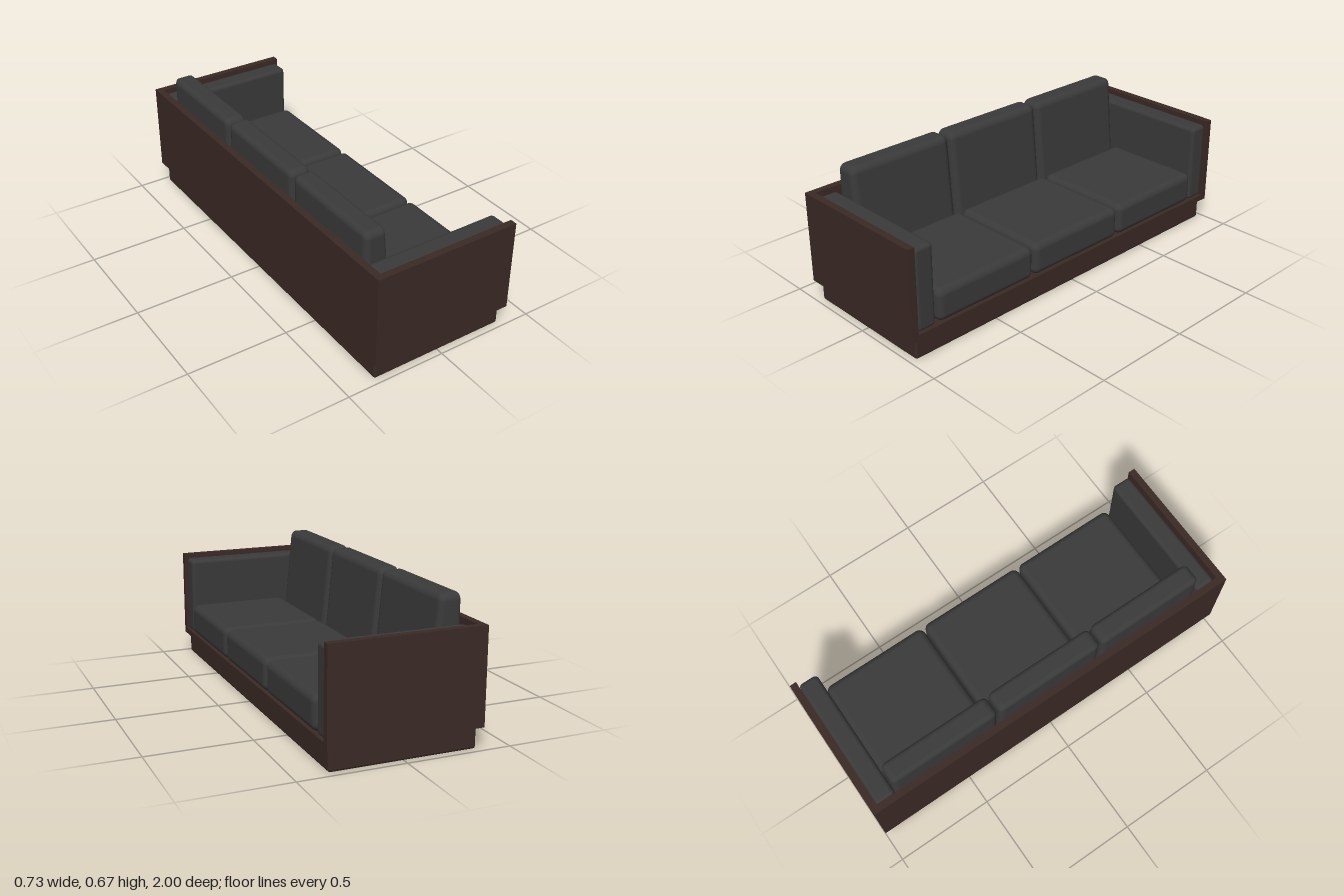
import * as THREE from 'three';
import { RoundedBoxGeometry } from 'three/addons/geometries/RoundedBoxGeometry.js';

const wood = new THREE.MeshStandardMaterial({ color: 0x3b2a25 });
const fabric = new THREE.MeshStandardMaterial({ color: 0x3a3a3a });

// Box given by its [min, max] extent on each axis; radius 0 keeps sharp edges.
function block(name, [x0, x1], [y0, y1], [z0, z1], material, radius = 0, segments = 4) {
  const size = [x1 - x0, y1 - y0, z1 - z0];
  const geometry = radius
    ? new RoundedBoxGeometry(...size, segments, radius)
    : new THREE.BoxGeometry(...size);
  const mesh = new THREE.Mesh(geometry, material);
  mesh.name = name;
  mesh.position.set((x0 + x1) / 2, (y0 + y1) / 2, (z0 + z1) / 2);
  return mesh;
}

// Narrows a back cushion towards its top by sloping only the front face.
function slopeFront(mesh, width, height, amount) {
  const p = mesh.geometry.attributes.position;
  for (let i = 0; i < p.count; i++) {
    const across = p.getX(i) / width + 0.5;
    const up = p.getY(i) / height + 0.5;
    p.setX(i, p.getX(i) - amount * across * up);
  }
  mesh.geometry.computeBoundingSphere();
  // tilt the front normals to match the slope
  const n = mesh.geometry.attributes.normal;
  const v = new THREE.Vector3();
  for (let i = 0; i < n.count; i++) {
    v.fromBufferAttribute(n, i);
    if (v.x > 0) v.y += v.x * amount / height;
    v.normalize();
    n.setXYZ(i, v.x, v.y, v.z);
  }
}

export function createModel() {
  const sofa = new THREE.Group();
  sofa.name = 'sofa';

  // Wooden case on a recessed plinth, open towards +x
  sofa.add(
    block('plinth', [-0.347, 0.347], [0, 0.107], [-0.97, 0.97], wood, 0.012, 2),
    block('basePanel', [-0.367, 0.366], [0.105, 0.135], [-0.967, 0.967], wood),
    block('backPanel', [-0.367, -0.333], [0.105, 0.557], [-0.967, 0.967], wood)
  );
  for (const side of [-1, 1]) {
    const z = side < 0 ? [-1, -0.966] : [0.966, 1];
    sofa.add(block('sidePanel', [-0.367, 0.367], [0.105, 0.557], z, wood));
    const armZ = side < 0 ? [-0.966, -0.868] : [0.86, 0.96];
    sofa.add(block('armCushion', [-0.328, 0.357], [0.135, 0.538], armZ, fabric, 0.02));
  }

  // Three seat cushions, each with a sloping back cushion
  for (let i = -1; i <= 1; i++) {
    const middle = i * 0.574 - 0.007;
    const z = [middle - 0.283, middle + 0.283];
    sofa.add(block('seatCushion', [-0.16, 0.367], [0.135, 0.297], z, fabric, 0.035));
    const back = block('backCushion', [-0.32, -0.163], [0.135, 0.672], z, fabric, 0.035);
    slopeFront(back, 0.157, 0.537, 0.054);
    sofa.add(back);
  }
  return sofa;
}
